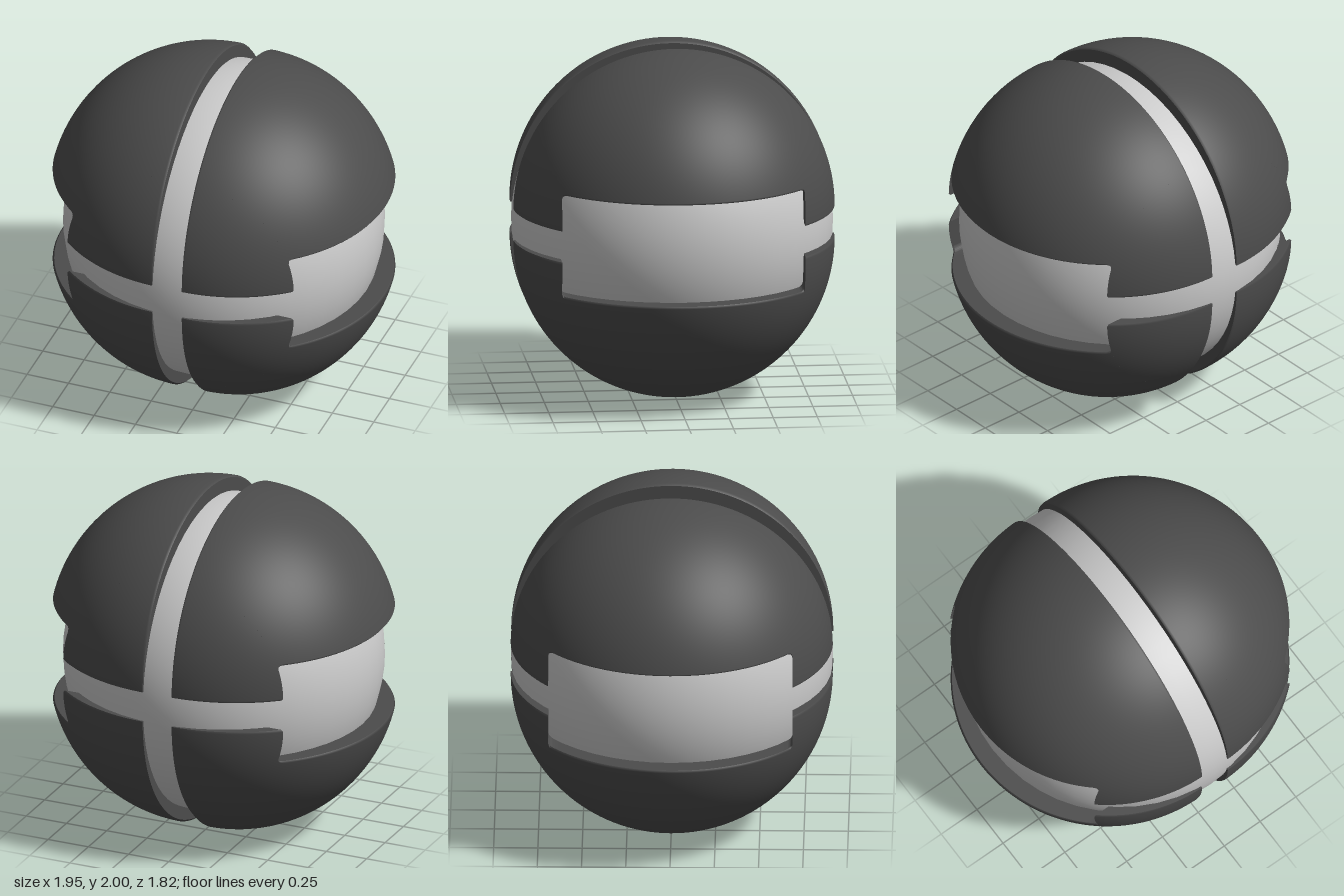
import * as THREE from 'three';
import { mergeGeometries, toCreasedNormals } from 'three/addons/utils/BufferGeometryUtils.js';

const R = 0.91;        // radius of the core and of each shell quarter
const GAP = 0.09;      // how far each quarter is pushed out along x and y
const NOTCH_Z = 0.69;  // half length of the side window
const NOTCH_Y = 0.205; // height of the window in one quarter
const FILLET = 0.03;   // rounding of the window corners
const BEVEL = 0.012;   // softened edge of the shell
const ARC = 40;

// Lower edge of the shell beside the window, rounded at its ends
function windowEdge(z) {
  const d = Math.max(0, NOTCH_Z - Math.abs(z));
  if (d >= FILLET) return NOTCH_Y;
  return NOTCH_Y - FILLET + Math.sqrt(FILLET ** 2 - (FILLET - d) ** 2);
}

// Slice of a quarter ball at z: corner, floor, bevel, outer arc, bevel
function section(z, floor) {
  const rho = Math.sqrt(R * R - z * z);
  const b = Math.min(BEVEL, rho * 0.3);
  const inner = Math.sqrt((rho - b) ** 2 - floor ** 2);
  const start = Math.asin(floor / rho) + b / rho;
  const end = Math.PI / 2 - b / rho;
  const points = [[0, floor, z], [inner, floor, z]];
  for (let i = 0; i <= ARC; i++) {
    const a = start + (end - start) * i / ARC;
    points.push([rho * Math.cos(a), rho * Math.sin(a), z]);
  }
  points.push([0, rho - b, z]);
  return points;
}

// Closed solid through a row of slices
function loft(rows) {
  const n = rows[0].length, last = (rows.length - 1) * n, index = [];
  for (let i = 0; i < rows.length - 1; i++) {
    for (let j = 0; j < n; j++) {
      const a = i * n + j, b = i * n + (j + 1) % n;
      index.push(a, b, b + n, a, b + n, a + n);
    }
  }
  for (let j = 1; j < n - 1; j++) {
    index.push(0, j + 1, j, last, last + j, last + j + 1);
  }
  const g = new THREE.BufferGeometry();
  g.setAttribute('position', new THREE.Float32BufferAttribute(rows.flat(2), 3));
  g.setIndex(index);
  return g;
}

// Slices evenly spaced by angle between two z values
function slab(z0, z1, count, floorAt) {
  const u0 = Math.asin(z0 / R), u1 = Math.asin(z1 / R);
  const zs = [];
  for (let i = 0; i <= count; i++) zs.push(R * Math.sin(u0 + (u1 - u0) * i / count));
  zs[0] = z0;
  zs[count] = z1;
  return loft(zs.map(z => section(z, floorAt(z))));
}

function quarterGeometry() {
  const tip = R * 0.99995;
  const flat = () => 0;
  const mid = NOTCH_Z - FILLET;
  const merged = mergeGeometries([
    slab(-tip, -NOTCH_Z, 18, flat),
    slab(-NOTCH_Z, -mid, 6, windowEdge),
    slab(-mid, mid, 36, windowEdge),
    slab(mid, NOTCH_Z, 6, windowEdge),
    slab(NOTCH_Z, tip, 18, flat),
  ]);
  const g = toCreasedNormals(merged, 0.5);

  // True ball normals on the outer skin
  const p = new THREE.Vector3(), n = new THREE.Vector3();
  const pos = g.attributes.position, nor = g.attributes.normal;
  for (let i = 0; i < pos.count; i++) {
    p.fromBufferAttribute(pos, i);
    n.fromBufferAttribute(nor, i);
    if (p.length() < R - 1e-4 || Math.abs(n.z) > 0.999) continue;
    p.normalize();
    if (n.dot(p) > 0.6) nor.setXYZ(i, p.x, p.y, p.z);
  }
  return g.translate(GAP, GAP, 0);
}

export function createModel() {
  const group = new THREE.Group();
  group.name = 'splitBall';
  const grey = new THREE.MeshStandardMaterial({ color: 0xcccccc });
  const dark = new THREE.MeshStandardMaterial({ color: 0x4c4c4c });

  // Inner ball
  const core = new THREE.Mesh(new THREE.SphereGeometry(R, 48, 32), grey);
  core.name = 'core';
  core.position.y = 1;
  group.add(core);

  // Four shell quarters, each a half turn of the first
  const shell = quarterGeometry();
  const quarters = [
    ['upperLeftShell', 0, 0],
    ['upperRightShell', 0, Math.PI],
    ['lowerLeftShell', Math.PI, 0],
    ['lowerRightShell', Math.PI, Math.PI],
  ];
  for (const [name, rx, ry] of quarters) {
    const mesh = new THREE.Mesh(shell, dark);
    mesh.name = name;
    mesh.rotation.set(rx, ry, 0);
    mesh.position.y = 1;
    group.add(mesh);
  }
  return group;
}
